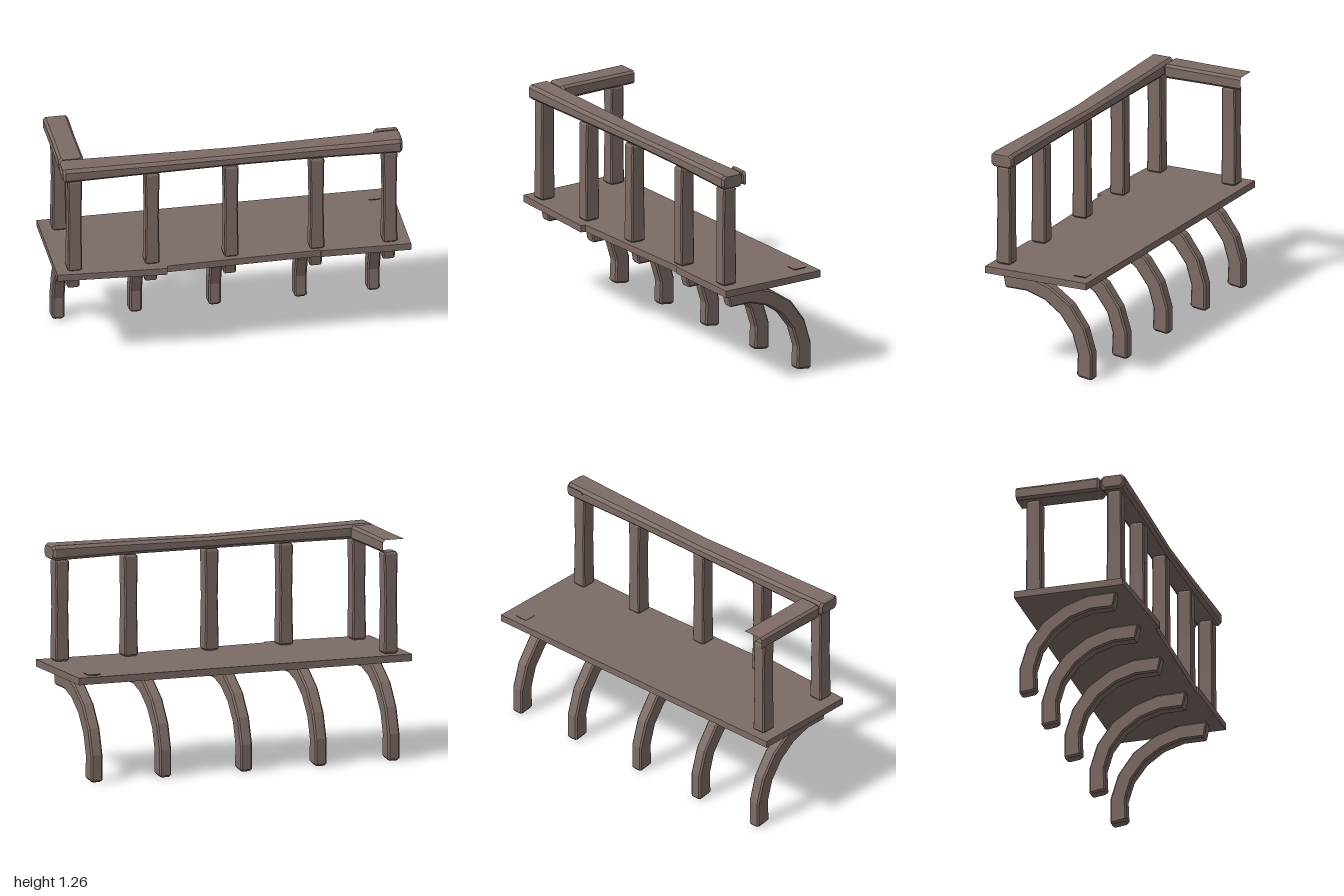
import * as THREE from 'three';

// Chamfered rectangular ring: centre c, half-axes u and v (vectors), chamfer size
function ring(c, u, v, chamfer) {
  const a = u.length(), b = v.length();
  const p = 1 - chamfer / a, q = 1 - chamfer / b;
  return [[1, -q], [1, q], [p, 1], [-p, 1], [-1, q], [-1, -q], [-p, -1], [p, -1]]
    .map(([s, t]) => c.clone().addScaledVector(u, s).addScaledVector(v, t));
}

// Skin a run of rings, with optional end caps (u x v points along the run)
function loft(rings, capStart = true, capEnd = true) {
  const pos = [];
  const tri = (...pts) => pts.forEach((p) => pos.push(p.x, p.y, p.z));
  for (let k = 0; k + 1 < rings.length; k++) {
    const A = rings[k], B = rings[k + 1], n = A.length;
    for (let i = 0; i < n; i++) {
      const j = (i + 1) % n;
      tri(A[i], A[j], B[j]);
      tri(A[i], B[j], B[i]);
    }
  }
  const first = rings[0], last = rings[rings.length - 1];
  for (let i = 1; i + 1 < first.length; i++) {
    if (capStart) tri(first[0], first[i + 1], first[i]);
    if (capEnd) tri(last[0], last[i], last[i + 1]);
  }
  const g = new THREE.BufferGeometry();
  g.setAttribute('position', new THREE.Float32BufferAttribute(pos, 3));
  g.computeVertexNormals();
  return g;
}

const V = (x, y, z) => new THREE.Vector3(x, y, z);

export function createModel() {
  const model = new THREE.Group();
  model.name = 'balcony';
  const wood = new THREE.MeshStandardMaterial({ color: 0x7d6b66 });
  wood.name = 'weathered wood';
  wood.flatShading = true;

  const add = (name, geometry, x = 0, y = 0, z = 0) => {
    const mesh = new THREE.Mesh(geometry, wood);
    mesh.name = name;
    mesh.position.set(x, y, z);
    model.add(mesh);
  };

  // Deck with a slightly uneven front edge
  const outline = [[-1, -0.333], [-1, 0.298], [-0.385, 0.333], [-0.38, 0.306],
    [0.49, 0.285], [0.495, 0.294], [1, 0.305], [1, -0.333]];
  const deck = new THREE.ExtrudeGeometry(
    new THREE.Shape(outline.map(([x, z]) => new THREE.Vector2(x, -z))),
    { depth: 0.04, bevelEnabled: false });
  deck.rotateX(-Math.PI / 2);
  add('deck', deck, 0, 0.56, 0);

  // Posts: slightly waisted, with bevelled ends [y, half x, half z]
  const postRings = [[0.6, 0.032, 0.036], [0.61, 0.041, 0.045], [0.9, 0.036, 0.043],
    [1.162, 0.041, 0.042], [1.175, 0.033, 0.034]]
    .map(([y, hx, hz]) => ring(V(0, y, 0), V(0, 0, hz), V(hx, 0, 0), 0.007));
  const post = loft(postRings);
  const spots = [-0.895, -0.457, -0.01, 0.475, 0.888];
  spots.forEach((x) => add('frontPost', post, x, 0, 0.228));
  add('backPost', post, -0.895, 0, -0.24);

  // Open foot left by the missing back post
  add('brokenPostFoot', loft(postRings.slice(0, 2), true, false), 0.888, 0, -0.25);

  // Front handrail, sagging gently [x, y, z, half height, half depth]
  add('frontRail', loft([
    [-0.965, 1.22, 0.226, 0.032, 0.058], [-0.95, 1.218, 0.226, 0.042, 0.07],
    [-0.45, 1.216, 0.223, 0.036, 0.066], [0, 1.213, 0.219, 0.033, 0.06],
    [0.45, 1.217, 0.222, 0.036, 0.062], [0.94, 1.217, 0.226, 0.042, 0.07],
    [0.955, 1.217, 0.226, 0.034, 0.06],
  ].map(([x, y, z, hy, hz]) => ring(V(x, y, z), V(0, hy, 0), V(0, 0, hz), 0.017))));

  // Side handrail, hollow at the back end [z, y, half width, half height]
  const sideRings = [[-0.333, 1.217, 0.07, 0.038], [-0.1, 1.217, 0.068, 0.039],
    [0.138, 1.217, 0.07, 0.041], [0.151, 1.217, 0.06, 0.033]]
    .map(([z, y, hx, hy]) => ring(V(0, y, z), V(hx, 0, 0), V(0, hy, 0), 0.014));
  add('sideRail', loft(sideRings, false, true), -0.895, 0, 0);

  // Stub of the missing rail on the other side
  add('brokenRailEnd', loft(sideRings.slice(2), false, true), 0.885, 0, 0);

  // Curved braces under the deck: outer and inner edge points [z, y]
  const outer = [[0.23, 0.557], [0.07, 0.555], [-0.065, 0.51], [-0.19, 0.425],
    [-0.28, 0.3], [-0.325, 0.155], [-0.325, 0.012]];
  const inner = [[0.213, 0.465], [0.09, 0.465], [-0.025, 0.43], [-0.125, 0.36],
    [-0.2, 0.26], [-0.235, 0.145], [-0.23, 0.025]];
  const braceRing = (k, shrink = 0, dz = 0, dy = 0) => {
    const [oz, oy] = outer[k], [iz, iy] = inner[k];
    const u = V(0, (oy - iy) / 2, (oz - iz) / 2);
    u.setLength(u.length() - shrink);
    return ring(V(0, (oy + iy) / 2 + dy, (oz + iz) / 2 + dz), u, V(0.035 - shrink, 0, 0), 0.009);
  };
  const brace = loft([braceRing(0, 0.008, 0.006, 0),
    ...outer.map((_, k) => braceRing(k)),
    braceRing(6, 0.008, 0, -0.011)]);
  spots.forEach((x) => add('brace', brace, x, 0, 0));

  return model;
}
